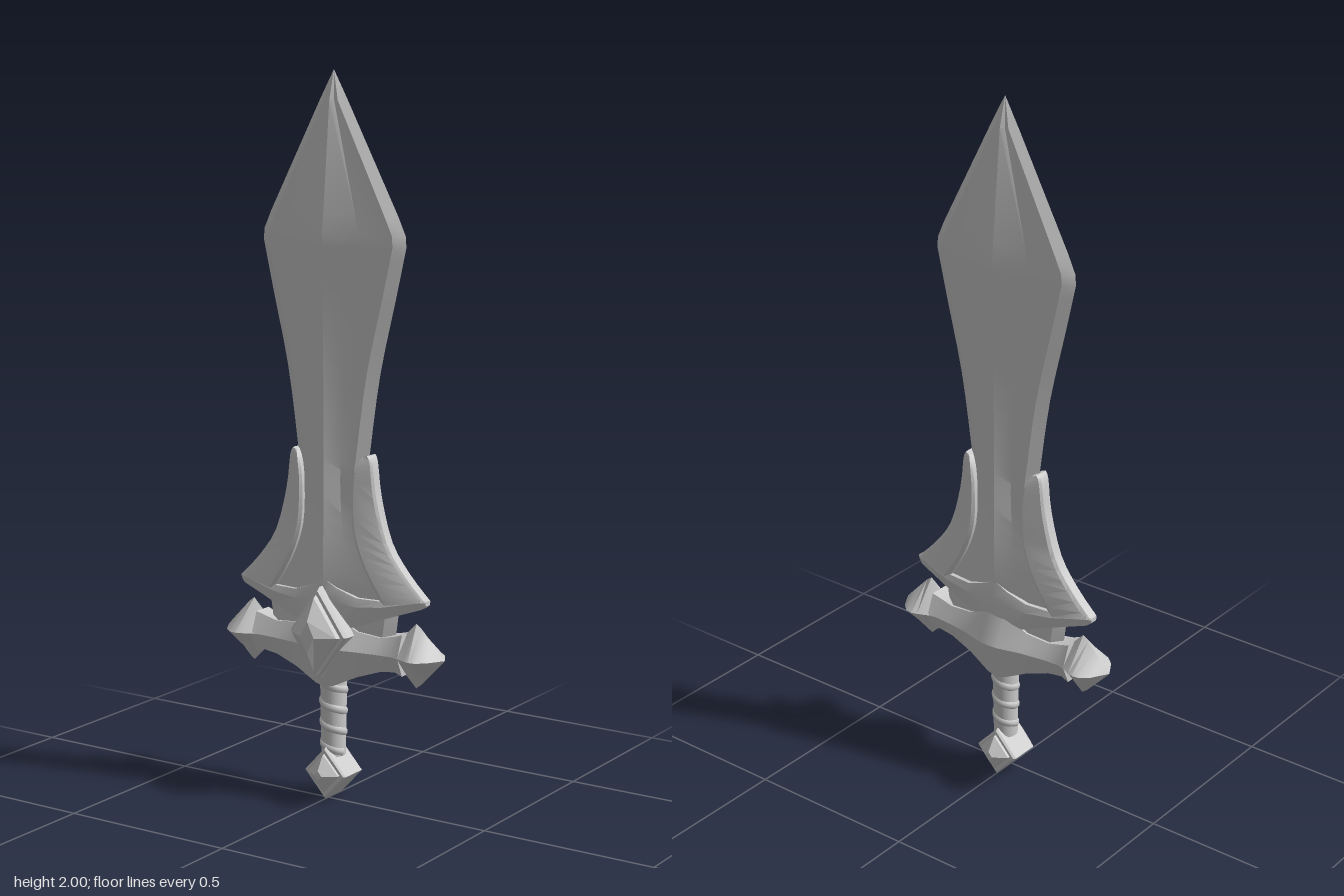
import * as THREE from 'three';
import { toCreasedNormals } from 'three/addons/utils/BufferGeometryUtils.js';

const Z0 = -0.025; // middle plane of the sword
const mat = new THREE.MeshStandardMaterial({ color: 0xcccccc });

// Skin a list of equal-length closed cross-sections and cap both ends.
function loft(sections, crease = 0.45) {
  const n = sections[0].length, tris = [];
  for (let s = 0; s < sections.length - 1; s++) {
    for (let i = 0; i < n; i++) {
      const j = (i + 1) % n;
      const a = sections[s][i], b = sections[s][j], c = sections[s + 1][j], d = sections[s + 1][i];
      tris.push([a, b, c], [a, c, d]);
    }
  }
  const first = sections[0], last = sections[sections.length - 1];
  for (let i = 1; i < n - 1; i++) {
    tris.push([first[0], first[i + 1], first[i]], [last[0], last[i], last[i + 1]]);
  }
  // signed volume decides which way round the faces go
  let volume = 0;
  const v = (p) => new THREE.Vector3(...p);
  for (const [a, b, c] of tris) volume += v(a).dot(v(b).cross(v(c)));
  if (volume < 0) tris.forEach((t) => t.reverse());
  const geo = new THREE.BufferGeometry();
  geo.setAttribute('position', new THREE.Float32BufferAttribute(tris.flat(2), 3));
  return toCreasedNormals(geo, crease);
}

// Mirror interpolated rows [x, ...] to cover both sides from -x to +x.
const mirrorRows = (rows) => [
  ...rows.slice(1).reverse().map(([x, ...r]) => [-x, ...r]),
  ...rows,
];

// Smoothly resample table rows along their length.
function smoothRows(rows, steps) {
  const at = (k) => rows[Math.max(0, Math.min(rows.length - 1, k))];
  const out = [];
  for (let k = 0; k < rows.length - 1; k++) {
    for (let s = 0; s < steps; s++) {
      const t = s / steps;
      out.push(rows[k].map((p, i) => {
        const a = at(k - 1)[i], b = at(k + 1)[i], c = at(k + 2)[i];
        return p + 0.5 * t * (b - a + t * (2 * a - 5 * p + 4 * b - c + t * (3 * (p - b) + c - a)));
      }));
    }
  }
  out.push(rows[rows.length - 1]);
  return out;
}

export function createModel() {
  const model = new THREE.Group();
  const add = (name, geo, parent = model) => {
    const mesh = new THREE.Mesh(geo, mat);
    mesh.name = name;
    parent.add(mesh);
    return mesh;
  };
  const core = new THREE.Group();
  core.name = 'sword';
  core.position.z = Z0;
  model.add(core);

  // Blade: ridged section with bevelled edges; rows are [y, half width, half thickness]
  const lower = smoothRows([
    [0.47, 0.2, 0.052], [0.58, 0.21, 0.052], [0.67, 0.165, 0.052], [0.77, 0.125, 0.051],
    [0.9, 0.11, 0.05], [1.0, 0.12, 0.05], [1.2, 0.15, 0.051], [1.4, 0.197, 0.054], [1.54, 0.229, 0.058],
  ], 3);
  const bladeRows = [...lower, [1.57, 0.227, 0.057], [1.62, 0.204, 0.051], [1.92, 0.045, 0.022], [2.0, 0.0005, 0.0005]];
  add('blade', loft(bladeRows.map(([y, w, t]) => {
    const b = Math.max(w - 0.03, w * 0.5), e = Math.min(0.021, t * 0.7), m = Math.max(e, t * 0.57);
    return [
      [w, y, 0], [b, y, e], [b * 0.5, y, m], [0, y, t], [-b * 0.5, y, m], [-b, y, e],
      [-w, y, 0], [-b, y, -e], [-b * 0.5, y, -m], [0, y, -t], [b * 0.5, y, -m], [b, y, -e],
    ];
  }), 0.3), core);

  // Wings hugging the lower blade; rows are [inner x, inner y, outer x, outer y, inner half thickness]
  const wingRows = smoothRows([
    [0.107, 0.972, 0.122, 0.977, 0.022], [0.092, 0.945, 0.134, 0.955, 0.034], [0.082, 0.88, 0.147, 0.86, 0.038],
    [0.085, 0.77, 0.182, 0.74, 0.04], [0.12, 0.67, 0.238, 0.66, 0.04], [0.178, 0.575, 0.302, 0.595, 0.038],
  ], 3);
  for (const side of [1, -1]) {
    add(side > 0 ? 'leftWing' : 'rightWing', loft(wingRows.map(([xi, yi, xo, yo, t]) => {
      const at = (f, z) => [side * (xi + (xo - xi) * f), yi + (yo - yi) * f, z];
      return [at(0, -t + 0.006), at(0, t - 0.006), at(0.1, t), at(0.9, 0.021), at(1, 0.014),
        at(1, -0.014), at(0.9, -0.021), at(0.1, -t)];
    })), core);
  }

  // Crest band joining the wings; rows are [x, bottom y, top y, half thickness]
  const crestRows = mirrorRows([
    [0, 0.47, 0.63, 0.06], [0.04, 0.485, 0.607, 0.055], [0.1, 0.505, 0.585, 0.047],
    [0.18, 0.535, 0.585, 0.039], [0.29, 0.574, 0.603, 0.021], [0.303, 0.584, 0.597, 0.013],
  ]);
  add('crest', loft(crestRows.map(([x, b, t, z]) => {
    const m = b + (t - b) * 0.7;
    return [[x, b, z * 0.75], [x, m, z], [x, t, z * 0.85], [x, t, -z * 0.85], [x, m, -z], [x, b, -z * 0.75]];
  })), core);

  // Crossguard with flared arm ends
  const guardRows = mirrorRows([
    [0, 0.322, 0.54, 0.082], [0.03, 0.33, 0.53, 0.08], [0.1, 0.363, 0.49, 0.062],
    [0.17, 0.387, 0.482, 0.052], [0.215, 0.393, 0.492, 0.049], [0.24, 0.385, 0.5, 0.053],
  ]);
  add('crossguard', loft(guardRows.map(([x, b, t, z]) => [
    [x, b, z * 0.55], [x, 0.44, z], [x, t, z * 0.55], [x, t, -z * 0.55], [x, 0.44, -z], [x, b, -z * 0.55],
  ])), core);

  // Four-sided finials on the arm ends; rows are [x, y radius, z radius]
  const finialRows = [[0.228, 0.052, 0.05], [0.24, 0.062, 0.055], [0.268, 0.09, 0.067],
    [0.285, 0.077, 0.072], [0.305, 0.056, 0.069], [0.33, 0.03, 0.047], [0.357, 0.001, 0.001]];
  for (const side of [1, -1]) {
    add(side > 0 ? 'leftFinial' : 'rightFinial', loft(finialRows.map(([x, ry, rz]) => [
      [side * x, 0.44 + ry, 0], [side * x, 0.44, rz], [side * x, 0.44 - ry, 0], [side * x, 0.44, -rz],
    ]), 0.6), core);
  }

  // Diamond-shaped steps stacked along z; rows are [z, x radius, y radius]
  const diamond = (rows, cy) => loft(rows.map(([z, rx, ry]) => [
    [rx, cy, z], [0, cy + ry, z], [-rx, cy, z], [0, cy - ry, z],
  ]), 0.1);
  add('gemFrame', diamond([[0, 0.094, 0.13], [0.046, 0.094, 0.13], [0.056, 0.086, 0.12]], 0.48));
  add('gem', diamond([[0.05, 0.07, 0.1], [0.064, 0.079, 0.111], [0.073, 0.074, 0.104], [0.106, 0.022, 0.045]], 0.48));

  // Grip with a spiral wrap
  const grip = add('grip', new THREE.CylinderGeometry(0.038, 0.034, 0.24, 20), core);
  grip.position.y = 0.24;
  const helix = [];
  for (let i = 0; i <= 60; i++) {
    const f = i / 60, a = f * Math.PI * 7, r = 0.022 + 0.004 * f;
    helix.push(new THREE.Vector3(r * Math.cos(a), 0.13 + 0.21 * f, r * Math.sin(a)));
  }
  add('gripWrap', new THREE.TubeGeometry(new THREE.CatmullRomCurve3(helix), 140, 0.016, 10), core);

  // Pommel: a block on its corner with a stud on each face
  add('pommel', diamond([[-0.046, 0.062, 0.068], [-0.04, 0.068, 0.074], [0.04, 0.068, 0.074], [0.046, 0.062, 0.068]], 0.074), core);
  for (const side of [1, -1]) {
    add(side > 0 ? 'frontStud' : 'backStud', diamond([
      [side * 0.04, 0.05, 0.054], [side * 0.054, 0.05, 0.054], [side * 0.08, 0.012, 0.014],
    ], 0.076), core);
  }
  return model;
}
